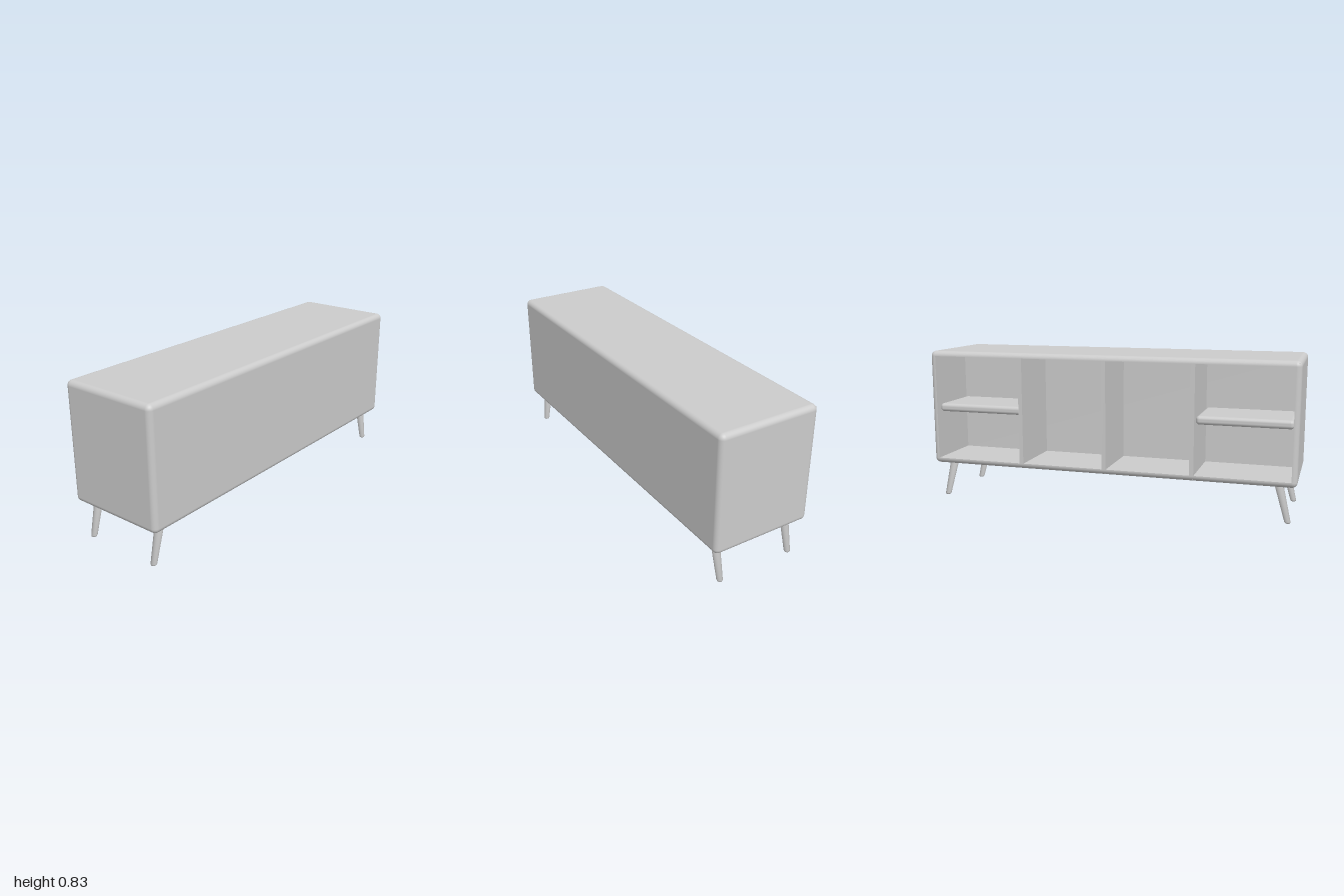
import * as THREE from 'three';
import { RoundedBoxGeometry } from 'three/addons/geometries/RoundedBoxGeometry.js';

const material = new THREE.MeshStandardMaterial({ color: 0xcccccc });
const shellMaterial = new THREE.MeshStandardMaterial({ color: 0xcccccc, side: THREE.DoubleSide });

const W = 2, H = 0.63, D = 0.548, R = 0.028; // outer cabinet size and edge radius
const BASE = 0.197;                          // underside of the cabinet
const BACK = -D / 2 + 0.008;                 // edge of the inner boards at the open side
const WALL = 0.075;                          // depth at which the compartments end

function addMesh(parent, name, geometry, mat = material) {
  const mesh = new THREE.Mesh(geometry, mat);
  mesh.name = name;
  parent.add(mesh);
  return mesh;
}

// Box given by its minimum and maximum on each axis
function board(parent, name, [x0, x1], [y0, y1], [z0, z1], radius = 0) {
  const size = [x1 - x0, y1 - y0, z1 - z0];
  const geometry = radius
    ? new RoundedBoxGeometry(...size, 4, radius)
    : new THREE.BoxGeometry(...size);
  addMesh(parent, name, geometry).position.set((x0 + x1) / 2, (y0 + y1) / 2, (z0 + z1) / 2);
}

// Rounded box with the flat middle of its rear and bottom removed
function shellGeometry() {
  const source = new RoundedBoxGeometry(W, H, D, 5, R);
  const pos = source.attributes.position, nor = source.attributes.normal;
  const keptPos = [], keptNor = [];
  for (let i = 0; i < pos.count; i += 3) {
    const corners = [i, i + 1, i + 2];
    const onBack = corners.every(k => pos.getZ(k) < -D / 2 + 1e-4);
    const onBottom = corners.every(k => pos.getY(k) < -H / 2 + 1e-4);
    if (onBack || onBottom) continue;
    for (const k of corners) {
      keptPos.push(pos.getX(k), pos.getY(k), pos.getZ(k));
      keptNor.push(nor.getX(k), nor.getY(k), nor.getZ(k));
    }
  }
  const geometry = new THREE.BufferGeometry();
  geometry.setAttribute('position', new THREE.Float32BufferAttribute(keptPos, 3));
  geometry.setAttribute('normal', new THREE.Float32BufferAttribute(keptNor, 3));
  return geometry;
}

// Tapered round leg, leaning outward by a sideways shear
function legGeometry(side) {
  const profile = [[0, 0], [0.01, 0], [0.014, 0.003], [0.016, 0.009], [0.0235, 0.215], [0, 0.215]]
    .map(([r, y]) => new THREE.Vector2(r, y));
  const geometry = new THREE.LatheGeometry(profile, 16);
  const pos = geometry.attributes.position;
  for (let i = 0; i < pos.count; i++) {
    pos.setX(i, pos.getX(i) + side * (0.958 - 0.255 * pos.getY(i)));
  }
  return geometry;
}

export function createModel() {
  const model = new THREE.Group();
  model.name = 'sideboard';

  addMesh(model, 'outerShell', shellGeometry(), shellMaterial).position.y = BASE + H / 2;

  // Inner lining of the compartments
  const bottom = BASE + R, top = BASE + H - R;
  const inner = W / 2 - R;
  const depth = [BACK, WALL];
  board(model, 'floor', [-0.985, 0.985], [bottom - 0.012, bottom], depth);
  board(model, 'ceiling', [-0.985, 0.985], [top, top + 0.016], depth);
  board(model, 'innerWall', [-0.985, 0.985], [bottom - 0.012, top + 0.016], [WALL, WALL + 0.008]);

  // Upright dividers, reaching slightly below the floor
  for (const x of [-0.47, 0, 0.47]) {
    board(model, 'divider', [x - 0.011, x + 0.011], [bottom - 0.02, top + 0.005], depth);
  }

  for (const side of [-1, 1]) {
    const span = (a, b) => (side > 0 ? [a, b] : [-b, -a]);
    board(model, 'endLining', span(inner, inner + 0.016), [bottom - 0.012, top + 0.016], depth);
    board(model, 'shelf', span(0.481, inner), [0.485, 0.53], [-0.235, WALL + 0.004], 0.018);
    for (const z of [-0.209, 0.209]) {
      addMesh(model, z > 0 ? 'frontLeg' : 'backLeg', legGeometry(side)).position.z = z;
    }
  }
  return model;
}
